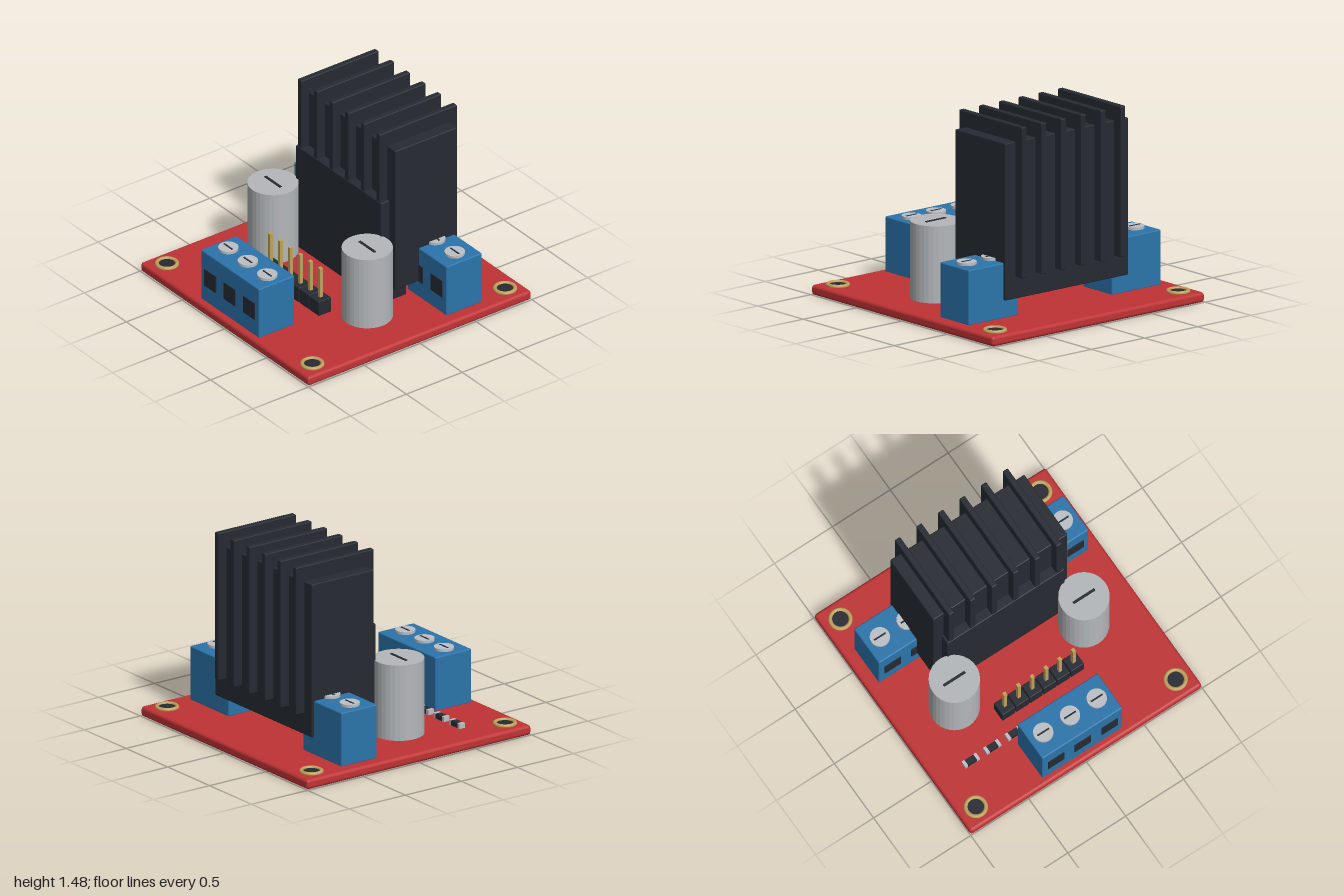
import * as THREE from 'three';
import { RoundedBoxGeometry } from 'three/addons/geometries/RoundedBoxGeometry.js';

const mat = (color, flatShading = false) => new THREE.MeshStandardMaterial({ color, flatShading });
const RED = mat(0xc03335), BLUE = mat(0x2b74ab), DARK = mat(0x262b32), GOLD = mat(0xc2a05c);
const SILVER = mat(0xbcc0c5), CAN = mat(0xb4b7ba, true);
const TOP = 0.075; // upper face of the board

function add(parent, name, geometry, material, x, y, z) {
  const mesh = new THREE.Mesh(geometry, material);
  mesh.name = name;
  mesh.position.set(x, y, z);
  parent.add(mesh);
  return mesh;
}

// Box given by its extents; r > 0 softens the edges
function box(parent, name, material, [x0, x1], [y0, y1], [z0, z1], r = 0) {
  const s = [x1 - x0, y1 - y0, z1 - z0];
  const geometry = r ? new RoundedBoxGeometry(...s, 2, r) : new THREE.BoxGeometry(...s);
  return add(parent, name, geometry, material, (x0 + x1) / 2, (y0 + y1) / 2, (z0 + z1) / 2);
}

function group(parent, name, x = 0, z = 0) {
  const g = new THREE.Group();
  g.name = name;
  g.position.set(x, 0, z);
  parent.add(g);
  return g;
}

// Screw terminal with wire openings facing the front
function terminal(parent, name, ways, x, z) {
  const g = group(parent, name, x, z), pitch = 0.231, half = ways * pitch / 2;
  box(g, 'terminalBody', BLUE, [-half, half], [TOP - 0.005, 0.48], [-0.16, 0.16], 0.01);
  for (let i = 0; i < ways; i++) {
    const sx = (i - (ways - 1) / 2) * pitch;
    box(g, 'wireOpening', DARK, [sx - 0.069, sx + 0.069], [0.205, 0.34], [0.14, 0.166]);
    add(g, 'screw', new THREE.CylinderGeometry(0.073, 0.073, 0.03, 24), SILVER, sx, 0.485, 0);
    box(g, 'screwSlot', DARK, [sx - 0.05, sx + 0.05], [0.49, 0.503], [-0.006, 0.006]);
  }
}

export function createModel() {
  const model = new THREE.Group();
  model.name = 'motorDriverBoard';

  box(model, 'circuitBoard', RED, [-1, 1], [0, TOP], [-1, 1], 0.024);

  // Plated mounting holes in the corners
  for (const x of [-0.863, 0.863]) for (const z of [-0.863, 0.863]) {
    const hole = group(model, 'mountingHole', x, z);
    const ring = add(hole, 'holeRing', new THREE.TorusGeometry(0.073, 0.015, 10, 32), GOLD, 0, 0.08, 0);
    ring.rotation.x = Math.PI / 2;
    add(hole, 'holeCentre', new THREE.CylinderGeometry(0.066, 0.066, 0.02, 32), DARK, 0, 0.072, 0);
  }

  // Driver chip and finned heat sink
  const sink = group(model, 'heatSink');
  box(sink, 'driverChip', DARK, [-0.507, 0.507], [0.08, 0.92], [-0.25, -0.022], 0.008);
  box(sink, 'sinkBlock', DARK, [-0.58, 0.58], [0.205, 1.365], [-0.648, -0.095], 0.008);
  for (let i = 0; i < 6; i++) {
    const x = (i - 2.5) * 0.186 - 0.003;
    box(sink, 'sinkFin', DARK, [x - 0.023, x + 0.023], [0.367, 1.482], [-0.72, -0.027], 0.008);
  }

  // Can capacitors
  for (const x of [-0.56, 0.56]) {
    const cap = group(model, 'capacitor', x, 0.142);
    add(cap, 'capacitorCan', new THREE.CylinderGeometry(0.184, 0.184, 0.57, 32), CAN, 0, 0.36, 0);
    box(cap, 'capacitorMark', DARK, [-0.093, 0.093], [0.63, 0.65], [-0.01, 0.01]);
  }

  terminal(model, 'frontTerminal', 3, 0, 0.79);
  terminal(model, 'leftTerminal', 2, 0.675, -0.467);
  terminal(model, 'rightTerminal', 2, -0.675, -0.467);

  // Pin header
  for (let i = 0; i < 6; i++) {
    const pin = group(model, 'headerPin', 0.014 + (i - 2.5) * 0.1185, 0.374);
    box(pin, 'pinHousing', DARK, [-0.056, 0.056], [TOP, 0.195], [-0.056, 0.056], 0.006);
    box(pin, 'pin', GOLD, [-0.013, 0.013], [0.15, 0.435], [-0.013, 0.013]);
  }

  // Small surface resistors
  for (let i = 0; i < 4; i++) {
    const part = group(model, 'resistor', -0.7 + i * 0.186, 0.557);
    box(part, 'resistorBody', DARK, [-0.042, 0.042], [TOP, 0.112], [-0.023, 0.023]);
    for (const s of [-1, 1])
      add(part, 'resistorCap', new THREE.BoxGeometry(0.024, 0.04, 0.05), SILVER, s * 0.05, 0.094, 0);
  }
  return model;
}
